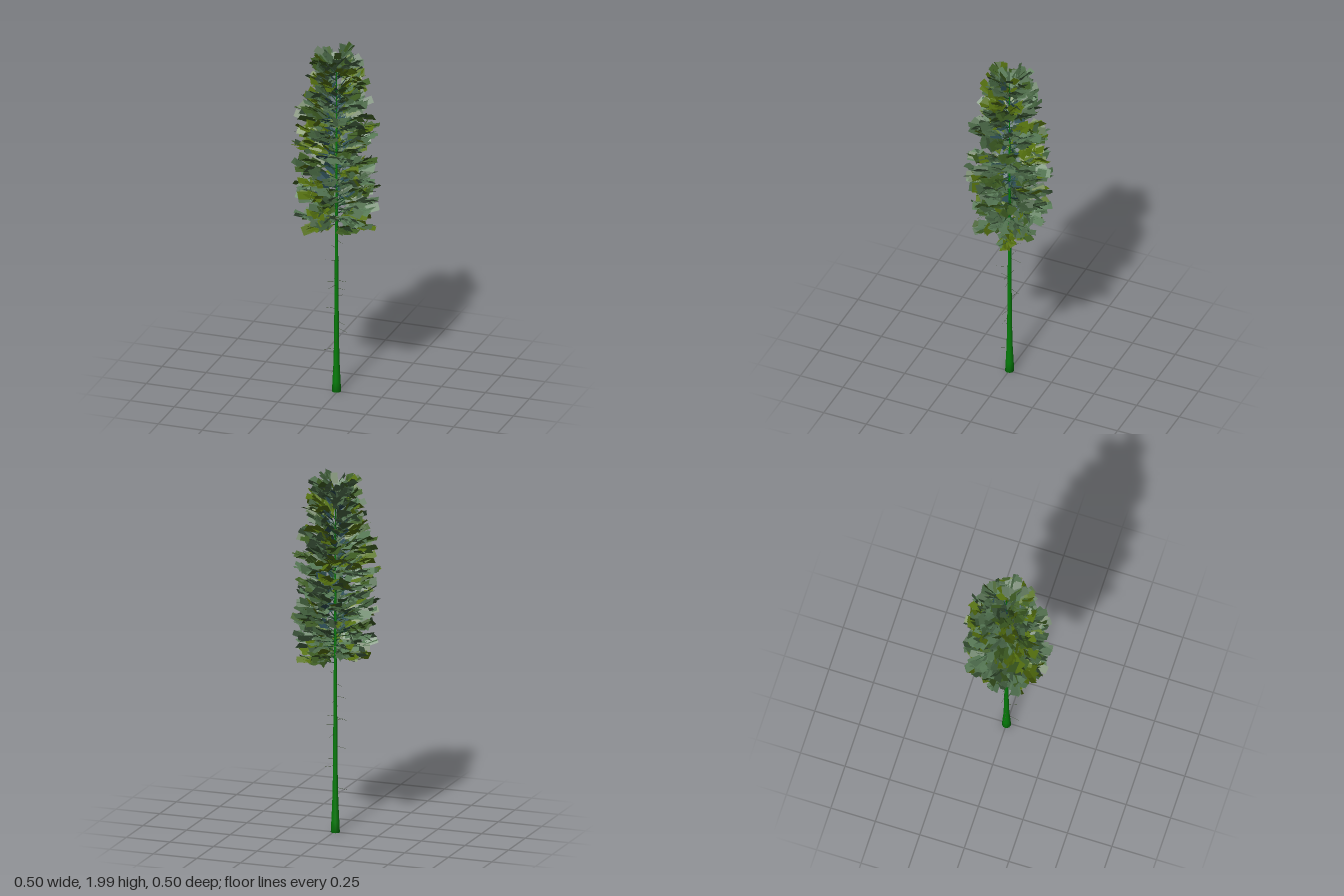
import * as THREE from 'three';
import { mergeGeometries } from 'three/addons/utils/BufferGeometryUtils.js';

const TRUNK_X = -0.007;
const UP = new THREE.Vector3(0, 1, 0);

// Small seeded generator
function makeRandom(seed) {
  let s = seed;
  return () => {
    s = (s * 16807) % 2147483647;
    return s / 2147483647;
  };
}

// Linear interpolation through [y, value] pairs
function sample(profile, y) {
  for (let i = 1; i < profile.length; i++) {
    const [y0, a] = profile[i - 1], [y1, b] = profile[i];
    if (y <= y1) return a + (b - a) * Math.max(0, (y - y0) / (y1 - y0));
  }
  return profile[profile.length - 1][1];
}

const trunkProfile = [[0, 0.025], [0.06, 0.022], [0.16, 0.017], [0.3, 0.0135], [0.6, 0.011], [0.95, 0.008], [1.4, 0.005], [1.93, 0.0015]];
const crownProfile = [[0.95, 0.175], [1.03, 0.195], [1.15, 0.225], [1.36, 0.23], [1.5, 0.215], [1.65, 0.19], [1.8, 0.155], [1.9, 0.125], [1.99, 0.095]];

// Thin tapered rod between two points
function rod(from, to, r0, r1) {
  const d = to.clone().sub(from);
  const g = new THREE.CylinderGeometry(r1, r0, d.length(), 4, 1, true);
  g.translate(0, d.length() / 2, 0);
  g.applyQuaternion(new THREE.Quaternion().setFromUnitVectors(UP, d.normalize()));
  return g.translate(from.x, from.y, from.z);
}

// Flat leaf card growing from a point along a direction, rolled about it
function leafCard(base, dir, roll, width, length) {
  const side = new THREE.Vector3().crossVectors(UP, dir).normalize();
  const normal = new THREE.Vector3().crossVectors(side, dir);
  const g = new THREE.PlaneGeometry(width, length);
  g.translate(0, length / 2, 0);
  g.rotateY(roll);
  g.applyMatrix4(new THREE.Matrix4().makeBasis(side, dir, normal));
  return g.translate(base.x, base.y, base.z);
}

function heading(angle, elevation) {
  return new THREE.Vector3(
    Math.cos(angle) * Math.cos(elevation), Math.sin(elevation), Math.sin(angle) * Math.cos(elevation));
}

export function createModel() {
  const tree = new THREE.Group();
  tree.name = 'tree';
  const rnd = makeRandom(4127);
  const spread = (a) => (rnd() * 2 - 1) * a;

  const add = (name, geometry, color) => {
    const material = new THREE.MeshStandardMaterial({ color, side: THREE.DoubleSide });
    const mesh = new THREE.Mesh(geometry, material);
    mesh.name = name;
    tree.add(mesh);
  };

  // Slender trunk with a flared foot
  const points = [new THREE.Vector2(0, 0), ...trunkProfile.map(([y, r]) => new THREE.Vector2(r, y))];
  add('trunk', new THREE.LatheGeometry(points, 9).translate(TRUNK_X, 0, 0), 0x047c08);

  // Bare twigs on the lower trunk: [height, angle in degrees]
  const twigs = [[0.15, 95], [0.25, 170], [0.31, 75], [0.37, 10], [0.41, 20], [0.48, 190], [0.55, 285],
    [0.6, 0], [0.62, 110], [0.64, 180], [0.645, 5], [0.69, 80], [0.75, 265], [0.76, 185], [0.83, 220], [0.88, 40]];
  add('bareTwigs', mergeGeometries(twigs.map(([y, deg]) => {
    const from = new THREE.Vector3(TRUNK_X, y, 0);
    const dir = heading(THREE.MathUtils.degToRad(deg), -0.15 + spread(0.15));
    return rod(from, from.clone().addScaledVector(dir, 0.05 + 0.025 * rnd()), 0.0012, 0.0005);
  })), 0x3a4a2c);

  // Crown: spiralling branches, each with leaf cards on its outer part
  const leafColors = [0x4c6a48, 0x3f5c3a, 0x587a56, 0x56720f, 0x3d5c22, 0x2c4c54];
  const leaves = leafColors.map(() => []);
  const branches = [];
  const count = 115;
  for (let i = 0; i < count; i++) {
    const k = i / (count - 1);
    const tipY = 0.965 + 1.01 * k;
    const angle = i * 2.39996 + spread(0.4);
    const elevation = 0.06 + 0.26 * Math.min(1, k * 4) + 0.45 * k * k + spread(0.08);
    const reach = sample(crownProfile, tipY) * (0.84 + 0.26 * rnd());
    const tip = new THREE.Vector3(TRUNK_X + Math.cos(angle) * reach, tipY, Math.sin(angle) * reach);
    const root = new THREE.Vector3(TRUNK_X, Math.min(1.92, tipY - reach * Math.tan(elevation)), 0);
    branches.push(rod(root, root.clone().lerp(tip, 0.85), 0.003, 0.001));

    const tint = Math.floor(rnd() * 5);
    const cards = 13;
    for (let j = 0; j < cards; j++) {
      const base = root.clone().lerp(tip, 0.22 + 0.56 * (j / (cards - 1)));
      const swing = j === cards - 1 ? spread(0.2) : (j % 2 ? 1 : -1) * (0.1 + 0.75 * rnd());
      const dir = heading(angle + swing, elevation * 0.85 + spread(0.28));
      const length = 0.056 + 0.024 * rnd();
      const topY = base.y + dir.y * length;
      if (topY > 1.985 || topY < 0.945) continue;
      const color = j === 0 && k > 0.2 ? 5 : rnd() < 0.75 ? tint : Math.floor(rnd() * 5);
      leaves[color].push(leafCard(base, dir, spread(1.1), 0.036 + 0.014 * rnd(), length));
    }
  }
  add('branches', mergeGeometries(branches), 0x1d4a2a);

  // Upright tuft closing the crown around the tip of the trunk
  for (let i = 0; i < 28; i++) {
    const dir = heading(i * 2.39996, 0.75 + spread(0.3));
    const base = new THREE.Vector3(TRUNK_X, 1.83 + 0.003 * i, 0).addScaledVector(dir, 0.01 + 0.03 * rnd());
    leaves[i % 5].push(leafCard(base, dir, spread(1.2), 0.038, 0.06));
  }
  leaves.forEach((cards, i) => add('foliage' + (i + 1), mergeGeometries(cards), leafColors[i]));
  return tree;
}
